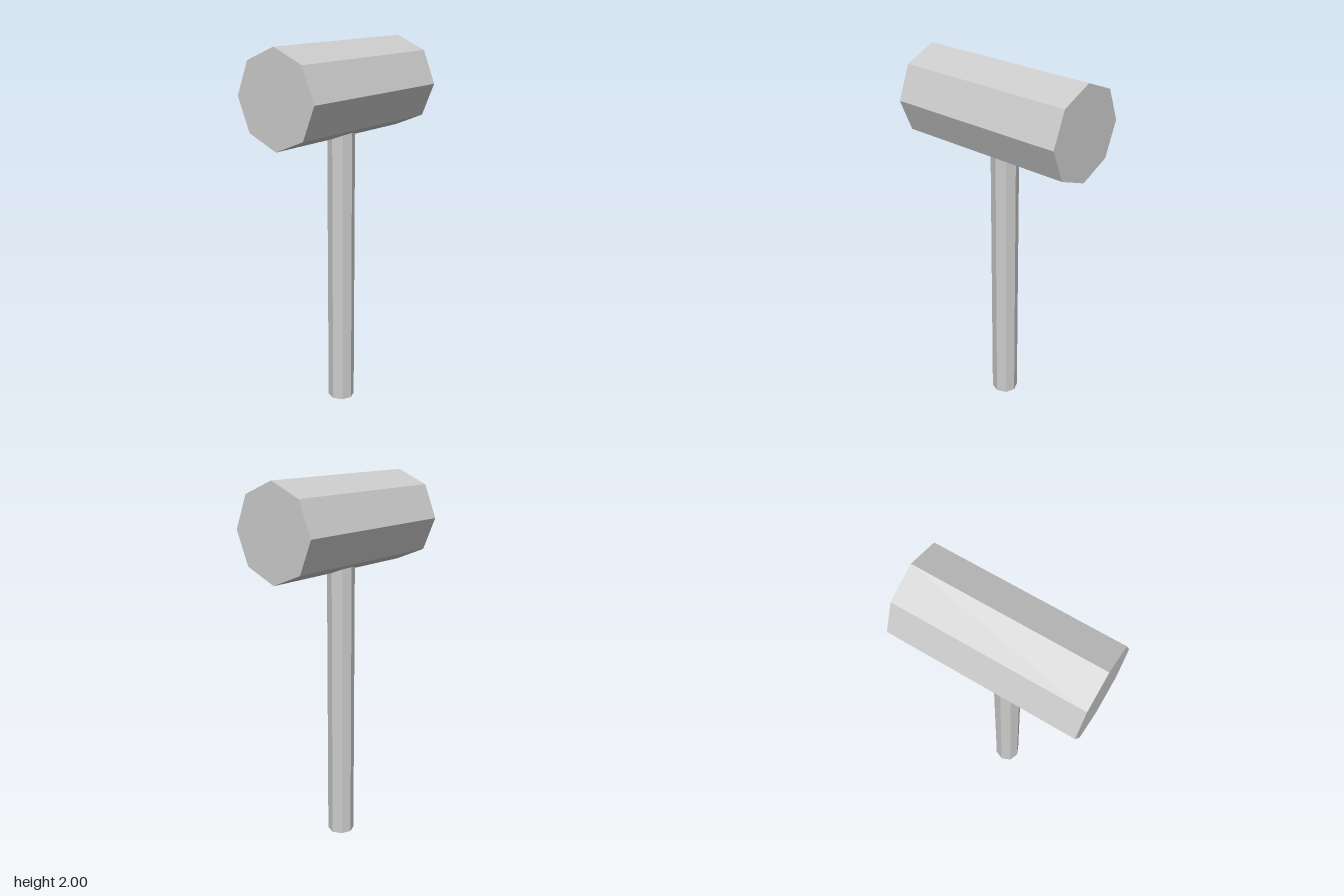
import * as THREE from 'three';

export function createModel() {
  const group = new THREE.Group();
  group.name = 'mallet';
  const material = new THREE.MeshStandardMaterial({ color: 0xcccccc, flatShading: true });

  // Octagonal prism with its edges on the main axes
  const addPrism = (name, radius, length, y) => {
    const mesh = new THREE.Mesh(new THREE.CylinderGeometry(radius, radius, length, 8), material);
    mesh.name = name;
    mesh.position.y = y;
    group.add(mesh);
    return mesh;
  };

  // Upright handle, its top sunk into the head
  const handleLength = 1.7;
  addPrism('handle', 0.073, handleLength, handleLength / 2);

  // Head lying along x
  const headRadius = 0.247;
  addPrism('head', headRadius, 0.982, 2 - headRadius).rotation.z = Math.PI / 2;

  return group;
}
